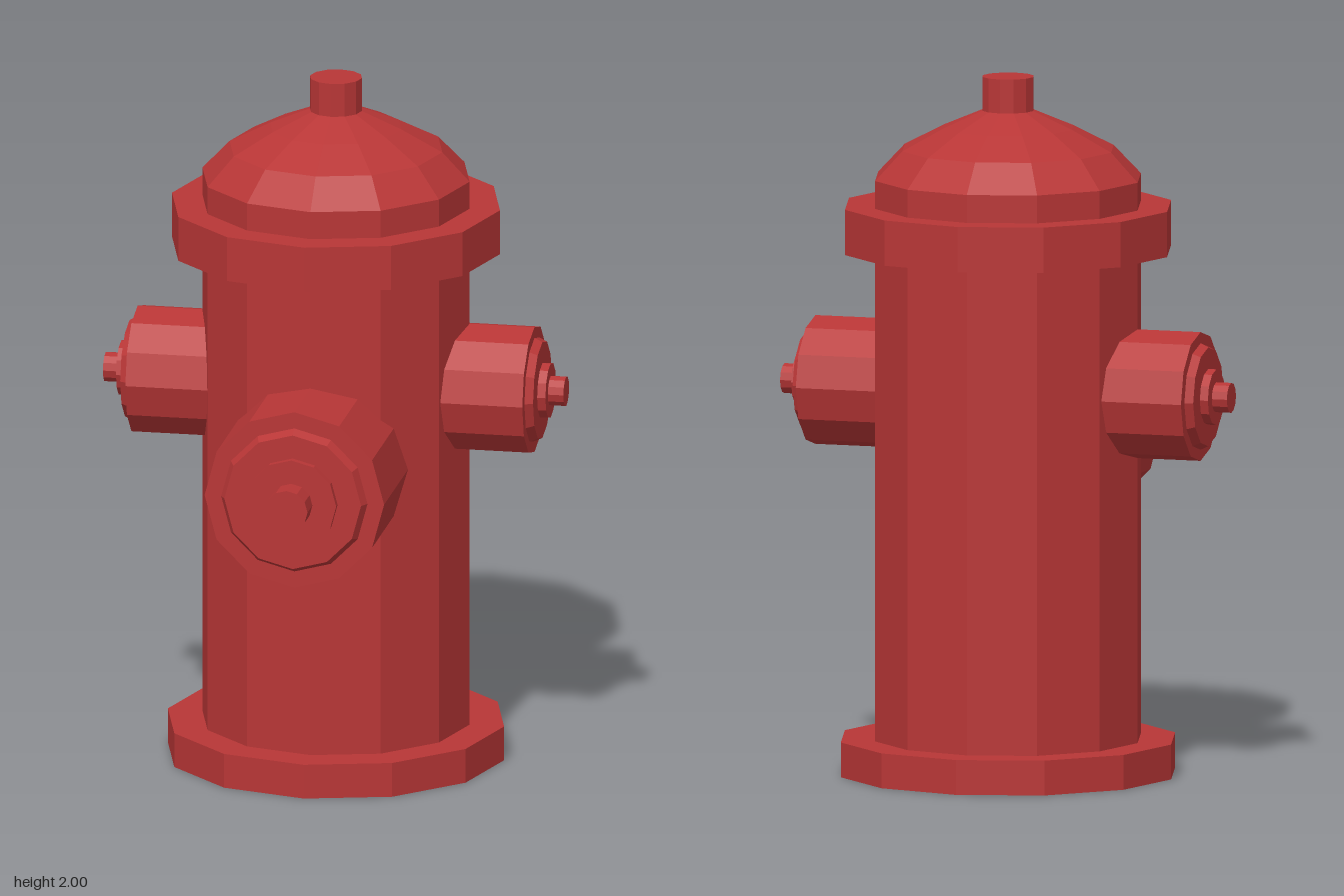
import * as THREE from 'three';

const SIDES = 12;
const AXIS_Z = -0.133;

export function createModel() {
  const hydrant = new THREE.Group();
  hydrant.name = 'hydrant';
  const red = new THREE.MeshStandardMaterial({ color: 0xb83636, flatShading: true });

  // Faceted solid turned from [radius, height] pairs, listed bottom to top
  const turned = (name, profile, parent) => {
    const points = profile.map(([r, y]) => new THREE.Vector2(r, y));
    const mesh = new THREE.Mesh(new THREE.LatheGeometry(points, SIDES), red);
    mesh.name = name;
    parent.add(mesh);
    return mesh;
  };
  const disc = (name, r, y0, y1, parent) =>
    turned(name, [[0, y0], [r, y0], [r, y1], [0, y1]], parent);

  // Upright barrel with its flanges and bonnet
  const barrel = new THREE.Group();
  barrel.name = 'barrel';
  barrel.position.z = AXIS_Z;
  hydrant.add(barrel);
  disc('baseFlange', 0.487, 0, 0.1, barrel);
  disc('body', 0.387, 0.1, 1.5, barrel);
  disc('topFlange', 0.475, 1.5, 1.63, barrel);
  turned('bonnet', [[0.387, 1.63], [0.387, 1.71], [0.308, 1.793], [0.19, 1.854], [0.074, 1.903], [0, 1.903]], barrel);
  disc('topNut', 0.075, 1.88, 2, barrel);

  // Outlet: pipe, tapered cap, raised plate and nut, built along +y then turned outward
  const outlet = (name, pipe, cap, plate, nut, start, ends) => {
    const group = new THREE.Group();
    group.name = name;
    disc('pipe', pipe, start, ends[0], group);
    turned('cap', [[cap[0], ends[0]], [cap[1], ends[1]], [0, ends[1]]], group);
    disc('plate', plate, ends[0], ends[2], group);
    disc('nut', nut, ends[1], ends[3], group);
    hydrant.add(group);
    return group;
  };

  const front = outlet('frontOutlet', 0.26, [0.212, 0.198], 0.13, 0.061, 0, [0.497, 0.522, 0.543, 0.617]);
  front.position.y = 0.927;
  front.rotation.x = Math.PI / 2;

  for (const side of [1, -1]) {
    const o = outlet(side > 0 ? 'leftOutlet' : 'rightOutlet',
      0.185, [0.153, 0.142], 0.08, 0.043, 0.25, [0.575, 0.598, 0.622, 0.667]);
    o.position.set(0, 1.104, AXIS_Z);
    o.rotation.z = -side * Math.PI / 2;
  }
  return hydrant;
}
